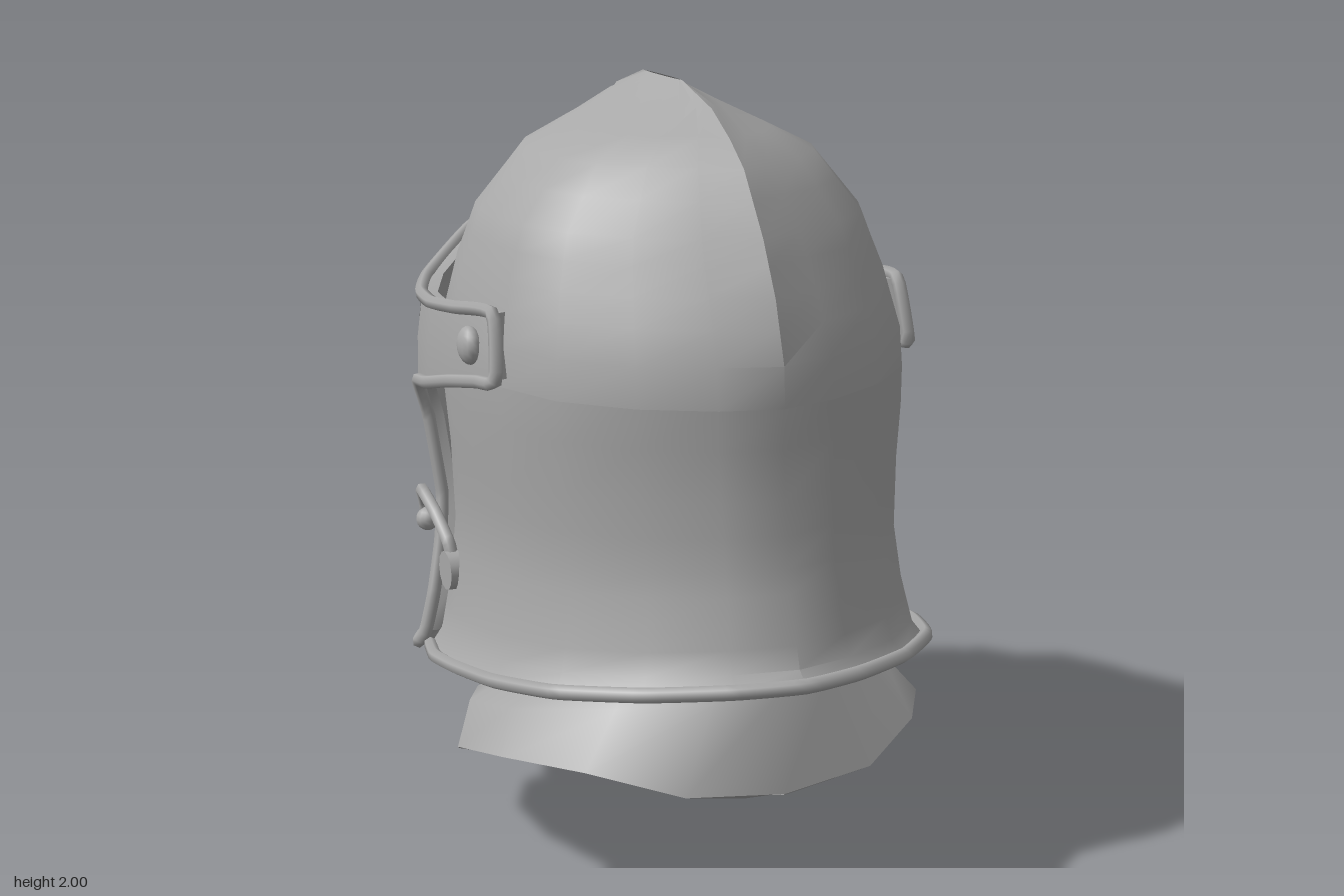
import * as THREE from 'three';
import { toCreasedNormals } from 'three/addons/utils/BufferGeometryUtils.js';

// Half plan outline, back (s = 0) to visor tip (s = 11), as [x, z] fractions
const PLAN = [[0, 1], [.27, .945], [.57, .815], [.83, .61], [.96, .36], [1, .1],
  [1, -.1], [.93, -.33], [.82, -.51], [.56, -.74], [.28, -.855], [0, -1]];

// height, half width, back depth, bowl front depth, visor front depth
const PROFILE = [
  [.515, .61, .855, .8, .85], [.56, .58, .82, .76, .82], [.7, .55, .785, .75, .79],
  [.85, .535, .75, .73, .78], [1.05, .545, .73, .72, .785], [1.12, .553, .725, .72, .84],
  [1.2, .56, .72, .73, .82], [1.3, .56, .722, .74, .815], [1.4, .555, .715, .73, .80],
  [1.55, .52, .665, .68, .765], [1.68, .475, .595, .6, .71], [1.83, .352, .485, .475, .6],
  [1.89, .228, .405, .4, .55], [1.95, .1, .3, .31, .5], [2, .005, .12, .13, .4]];

// Extra visor width above the eyes, by position along the outline
const BULGE = [[4, 0], [6, .02], [8, .04], [9.5, .04], [11, 0]];

// Piecewise linear lookup: rows of [key, ...values]
function lookup(rows, k, c = 1) {
  let i = 0;
  while (i < rows.length - 2 && k > rows[i + 1][0]) i++;
  const t = THREE.MathUtils.clamp((k - rows[i][0]) / (rows[i + 1][0] - rows[i][0]), 0, 1);
  return THREE.MathUtils.lerp(rows[i][c], rows[i + 1][c], t);
}
function plan(s) {
  const q = Math.abs(s), i = Math.min(10, Math.floor(q)), t = q - i;
  const x = THREE.MathUtils.lerp(PLAN[i][0], PLAN[i + 1][0], t);
  return [s < 0 ? -x : x, THREE.MathUtils.lerp(PLAN[i][1], PLAN[i + 1][1], t)];
}

// Points on the bowl and on the visor; the lower part tilts towards the visor
// and the upper part pinches into a ridge along the middle
function place(s, n, front, off) {
  const [px, pz] = plan(s);
  const ridge = THREE.MathUtils.clamp((n - 1.35) / .25, 0, 1) * Math.min(1, Math.abs(s), 11 - Math.abs(s));
  const z = pz * (1 - .06 * ridge) * (pz > 0 ? lookup(PROFILE, n, 2) + off : front);
  const tilt = .165 * z * Math.max(0, (1.2 - n) / .685);
  return new THREE.Vector3(px * (lookup(PROFILE, n, 1) + off), n + tilt, z);
}
const onBowl = (s, n, off = 0) => place(s, n, lookup(PROFILE, n, 3) + off, off);
function onVisor(s, n, off = .035) {
  const bulge = lookup(BULGE, Math.abs(s)) * THREE.MathUtils.clamp((n - 1) / .2, 0, 1);
  return place(s, n, lookup(PROFILE, n, 4) + off - .035, off + bulge);
}

// Surface through a grid of points, with optional missing cells
function grid(rows, crease = .62, skip = () => false) {
  const pos = [], idx = [], w = rows[0].length;
  rows.forEach(r => r.forEach(p => pos.push(p.x, p.y, p.z)));
  for (let i = 0; i < rows.length - 1; i++) for (let j = 0; j < w - 1; j++) {
    if (skip(i, j)) continue;
    const a = i * w + j;
    idx.push(a, a + 1, a + w + 1, a, a + w + 1, a + w);
  }
  const g = new THREE.BufferGeometry();
  g.setAttribute('position', new THREE.Float32BufferAttribute(pos, 3));
  g.setIndex(idx);
  return toCreasedNormals(g, crease);
}
const tube = (pts, r, seg) => new THREE.TubeGeometry(
  new THREE.CatmullRomCurve3(pts, false, 'catmullrom', .25), seg, r, 6);
const mirrored = (p, side) => new THREE.Vector3(p.x * side, p.y, p.z);

export function createModel() {
  const steel = new THREE.MeshStandardMaterial({ color: 0xa8a8a8, side: THREE.DoubleSide });
  steel.name = 'steel grey';
  const helmet = new THREE.Group();
  helmet.name = 'helmet';
  const add = (name, geo) => {
    const m = new THREE.Mesh(geo, steel);
    m.name = name;
    helmet.add(m);
    return m;
  };
  const both = a => [...a.slice(1).reverse().map(s => -s), ...a];
  const ring = both([0, 1, 2, 3, 4, 5, 6, 7, 8, 9, 10, 11]);

  // Domed bowl and its open-faced skirt
  const domeRows = [1.3, 1.4, 1.48, 1.55, 1.62, 1.68, 1.76, 1.83, 1.89, 1.95, 2];
  const skirtRows = [.515, .56, .63, .7, .78, .85, .95, 1.05, 1.2, 1.3];
  add('dome', grid(domeRows.map(n => ring.map(s => onBowl(s, n)))));
  const skirtCols = both([0, 1, 2, 3, 4, 5, 6, 7, 7.8]);
  add('skirt', grid(skirtRows.map(n => skirtCols.map(s => onBowl(s, n)))));
  const rimCols = both([0, 1, 2, 3, 4, 5, 6, 6.9]);
  add('skirtRim', tube(rimCols.map(s => onBowl(s, .517, .005)), .019, 90));
  add('skirtFlange', grid([-.035, .01].map(o => rimCols.map(s => onBowl(s, .505, o)))));

  // Visor plate with two eye slits
  const topEdge = [[7, 1.44], [8, 1.46], [9, 1.555], [10, 1.62], [11, 1.7]];
  const sideEdge = [[.515, 6.95], [.65, 7], [.9, 7.4], [1.1, 7.4], [1.2, 7.25]];
  const half = [7, 8, 9, 9.45, 10, 10.75];
  const visorCols = [...half, 11, ...half.map(s => -s).reverse()];
  const visorRows = [...[.515, .56, .63, .7, .78, .85, .95].map(n => () => n),
    s => lookup([[9.45, 1.075], [10.75, 1.045]], s),
    s => lookup([[9.45, 1.165], [10.75, 1.12]], s),
    ...[1.22, 1.3].map(n => () => n),
    ...[.25, .5, .75, 1].map(t => s => 1.3 + (lookup(topEdge, s) - 1.3) * t)];
  const slit = (i, j) => i === 7 && ((j > 2 && j < 5) || (j > 6 && j < 9));
  add('visor', grid(visorRows.map(f => visorCols.map(s => {
    const n = f(Math.abs(s));
    return onVisor(Math.abs(s) === 7 ? Math.sign(s) * lookup(sideEdge, n) : s, n);
  })), .62, slit));

  // Visor outline: top edge, hinge arm, side edge, bottom edge
  const armTop = s => lookup([[4, 1.48], [7, 1.435]], s);
  const armLow = s => lookup([[3.9, 1.325], [6.9, 1.21]], s);
  const outline = [
    ...[11, 10, 9, 8, 7].map(s => [s, lookup(topEdge, s)]),
    ...[6, 5, 4.03].map(s => [s, armTop(s)]),
    ...[3.9, 4.3, 5, 6, 6.9].map(s => [s, armLow(s)]),
    [7.2, 1.18], ...[1.1, .9, .78, .65, .55].map(n => [lookup(sideEdge, n), n]),
    ...[7.1, 8, 9, 10, 11].map(s => [s, .518])];
  const armCols = [3.95, 4.3, 5, 6, 7, 7.3];

  for (const side of [1, -1]) {
    const tag = side > 0 ? 'left' : 'right';
    const m = p => mirrored(p, side);
    add(tag + 'HingeArm', grid([armLow, s => (armLow(s) + armTop(s)) / 2, armTop]
      .map(f => armCols.map(s => m(onVisor(s, f(s)))))));
    add(tag + 'VisorTrim', tube(outline.map(([s, n]) => m(onVisor(s, n, .037))), .018, 150));
    add(tag + 'VisorEdge', grid([-.005, .04].map(o => outline.map(([s, n]) => m(onVisor(s, n, o))))));

    // Hinge rivet
    const rivet = add(tag + 'HingeRivet', new THREE.SphereGeometry(.048, 14, 10));
    rivet.position.set(side * .586, 1.39, .17);
    rivet.scale.x = .6;

    // Latch hook with its thumb pad and stud
    const hook = [[.545, .74, -.125], [.55, .79, -.145], [.56, .85, -.215], [.565, .885, -.295],
      [.55, .875, -.365], [.53, .83, -.405], [.515, .76, -.43]];
    add(tag + 'LatchHook', tube(hook.map(p => m(new THREE.Vector3(...p))), .018, 28));
    const pad = add(tag + 'LatchPad', new THREE.CylinderGeometry(.052, .052, .035, 12));
    pad.rotation.z = Math.PI / 2;
    pad.position.set(side * .55, .72, -.125);
    const stud = add(tag + 'LatchStud', new THREE.SphereGeometry(.032, 12, 8));
    stud.position.set(side * .53, .785, -.385);
  }

  // Neck and covered head: keel line, slanted base loop, then tilted rings
  // [width, back, front, y, slope]
  const base = [[0, .34, .75], [.25, .36, .72], [.45, .4, .57], [.585, .38, .35],
    [.605, .3, .06], [.53, .2, -.16], [.37, .1, -.31], [0, .005, -.415]];
  const keel = [[.335, .745], [.31, .68], [.235, .52], [.155, .3], [.1, .06], [.06, -.16], [.03, -.31], [.002, -.4]];
  const stations = [0, 1, 2.3, 4, 5.5, 8, 9.5, 11];
  const around = f => [...stations.map((s, i) => f(s, i, -1)).reverse(),
    ...stations.slice(1).map((s, i) => f(s, i + 1, 1))];
  const keelLine = around((s, i) => new THREE.Vector3(0, keel[i][0], keel[i][1]));
  const loop = around((s, i, side) => new THREE.Vector3(side * base[i][0], base[i][1], base[i][2]));
  const levels = [[.55, .7, -.445, .4, .25], [.49, .67, -.48, .43, .3], [.48, .65, -.66, .53, .23],
    [.5, .64, -.65, .75, .08], [.5, .62, -.63, 1.1, 0], [.5, .6, -.62, 1.4, 0]];
  const rings = levels.map(([w, b, f, y, k]) => around((s, i, side) => {
    const [px, pz] = plan(s), z = pz > 0 ? pz * b : -pz * f;
    return new THREE.Vector3(side * px * w, y + k * z, z);
  }));
  add('neck', grid([keelLine, loop, ...rings], .95));

  // The whole head is turned slightly
  helmet.rotation.y = -.045;
  const model = new THREE.Group();
  model.name = 'visoredHelmet';
  model.add(helmet);
  return model;
}
